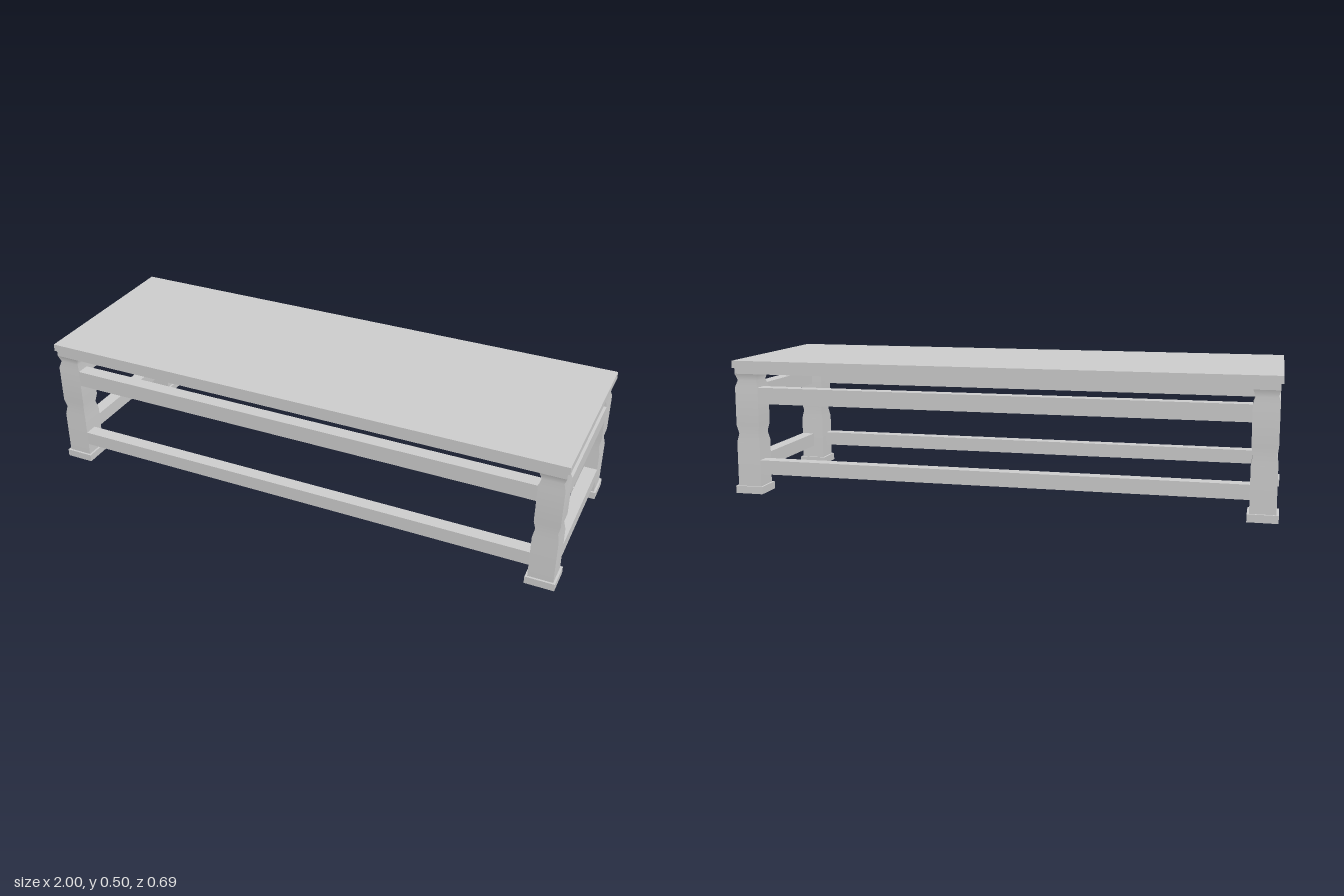
import * as THREE from 'three';

const LEG_X = 0.9465, LEG_Z = 0.294, HALF = 0.0455;

export function createModel() {
  const group = new THREE.Group();
  group.name = 'lowTable';
  const material = new THREE.MeshStandardMaterial({ color: 0xcccccc });

  const add = (name, geometry, x, y, z) => {
    const mesh = new THREE.Mesh(geometry, material);
    mesh.name = name;
    mesh.position.set(x, y, z);
    group.add(mesh);
  };
  // box spanning y0..y1
  const box = (name, w, d, y0, y1, x = 0, z = 0) =>
    add(name, new THREE.BoxGeometry(w, y1 - y0, d), x, (y0 + y1) / 2, z);

  // square leg with two pinched waists: [height, half width], top to bottom
  const profile = [
    [0.454, HALF], [0.429, 0.0375], [0.404, HALF],
    [0.26, HALF], [0.228, 0.039], [0.195, HALF], [0.028, HALF],
  ];
  const rows = profile.length - 1;
  const leg = new THREE.BoxGeometry(1, 1, 1, 1, rows, 1);
  const p = leg.attributes.position, n = leg.attributes.normal;
  for (let i = 0; i < p.count; i++) {
    const row = Math.round((0.5 - p.getY(i)) * rows);
    const [y, half] = profile[row];
    p.setXYZ(i, Math.sign(p.getX(i)) * half, y, Math.sign(p.getZ(i)) * half);
    // smooth the side normals along the height
    const [ya, ha] = profile[Math.max(row - 1, 0)];
    const [yb, hb] = profile[Math.min(row + 1, rows)];
    if (n.getY(i) === 0) n.setY(i, (hb - ha) / (ya - yb));
  }
  leg.normalizeNormals();

  // table top on a solid bed flush with the legs
  box('tableTop', 2, 0.687, 0.476, 0.503);
  box('topBed', 2 * (LEG_X + HALF), 2 * (LEG_Z + HALF), 0.454, 0.476);

  // legs and feet
  for (const sx of [-1, 1]) for (const sz of [-1, 1]) {
    add('leg', leg, sx * LEG_X, 0, sz * LEG_Z);
    box('foot', 0.107, 0.107, 0, 0.028, sx * LEG_X, sz * LEG_Z);
  }

  // two tiers of rails, flush with the outer faces of the legs
  const tiers = [
    ['middleRail', 0.343, 0.404],
    ['lowerRail', 0.076, 0.129],
  ];
  const thick = 0.05, shift = HALF - thick / 2;
  for (const [name, y0, y1] of tiers) for (const s of [-1, 1]) {
    box(name + 'Long', 2 * (LEG_X - HALF), thick, y0, y1, 0, s * (LEG_Z + shift));
    box(name + 'Short', thick, 2 * (LEG_Z - HALF), y0, y1, s * (LEG_X + shift), 0);
  }
  return group;
}
